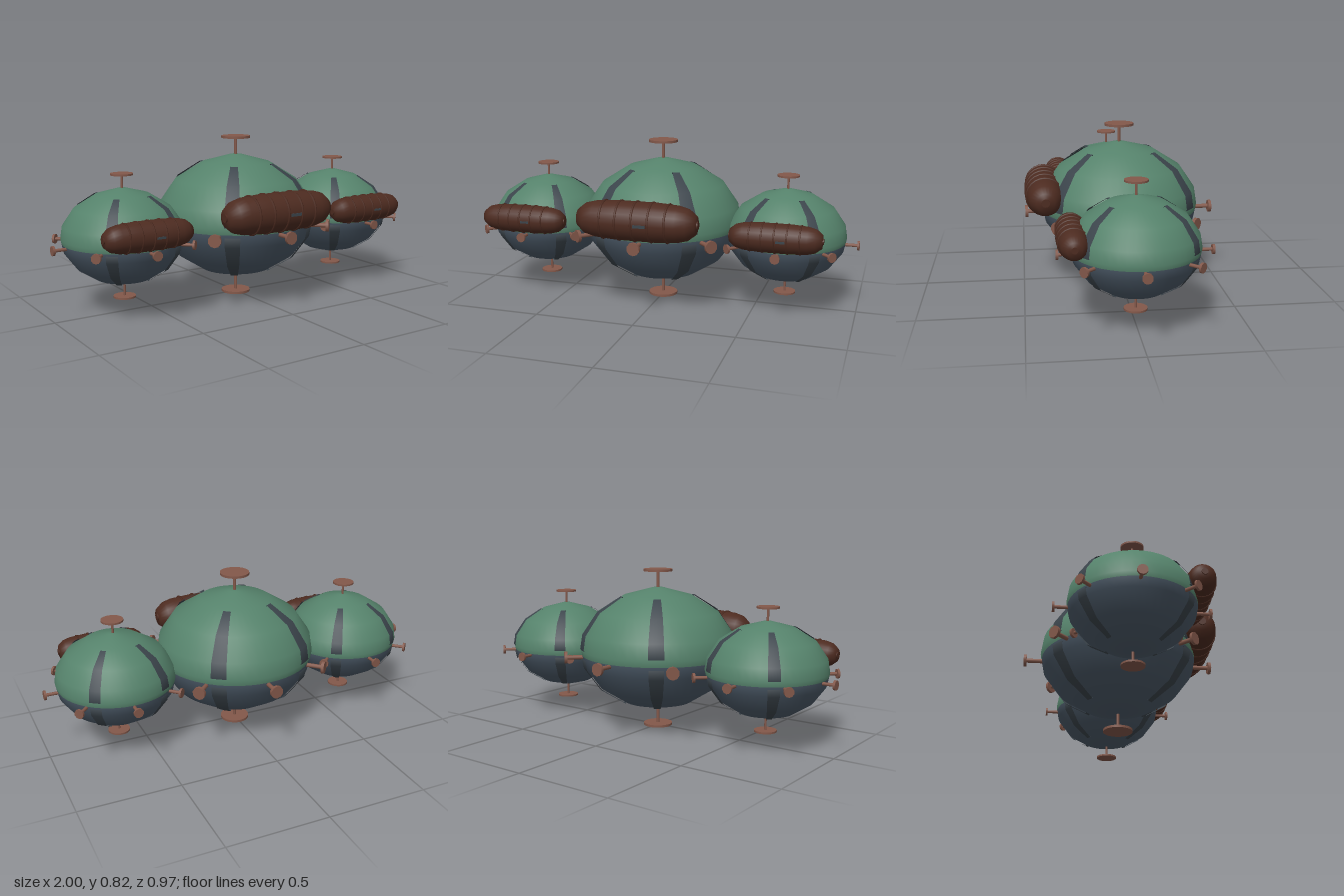
import * as THREE from 'three';

const mat = (name, color, side = THREE.FrontSide) => {
  const m = new THREE.MeshStandardMaterial({ color, side });
  m.name = name;
  return m;
};

export function createModel() {
  const green = mat('dome green', 0x55826b);
  const slate = mat('hull slate', 0x4b5967);
  const dark = mat('strap grey', 0x3b444b, THREE.DoubleSide);
  const brown = mat('pod brown', 0x4d2b20);
  const copper = mat('copper', 0x83584a);

  const pts = (list) => list.map(([r, y]) => new THREE.Vector2(r, y));
  const add = (parent, name, geometry, material, x = 0, y = 0, z = 0) => {
    const mesh = new THREE.Mesh(geometry, material);
    mesh.name = name;
    mesh.position.set(x, y, z);
    parent.add(mesh);
    return mesh;
  };

  // Hull profiles, bottom to top
  const lower = [[0, -0.316], [0.03, -0.315], [0.178, -0.276], [0.302, -0.198], [0.382, -0.09], [0.394, -0.03]];
  const upper = [[0.394, -0.03], [0.4, 0], [0.387, 0.08], [0.312, 0.19], [0.175, 0.276], [0.03, 0.315], [0, 0.316]];

  // Raised straps: outer face, with the ends turned into the hull
  const upperStrap = [[0.385, 0.008], [0.406, 0.008], [0.394, 0.083], [0.317, 0.196], [0.195, 0.273], [0.185, 0.26]];
  const lowerStrap = [[0.17, -0.262], [0.182, -0.282], [0.307, -0.204], [0.388, -0.093], [0.397, -0.045], [0.38, -0.045]];

  // Disc on a stem, pointing along +y from the hull
  function thruster(name, start, end, stemR, discR, discH, sides) {
    const g = new THREE.Group();
    g.name = name;
    add(g, 'stem', new THREE.CylinderGeometry(stemR, stemR, end - start, 10), copper, 0, (start + end) / 2, 0);
    add(g, 'disc', new THREE.CylinderGeometry(discR, discR, discH, sides), copper, 0, end - discH / 2, 0);
    return g;
  }

  // Ribbed pod lying along x
  function ribbedPod() {
    const g = new THREE.Group();
    g.name = 'ribbedPod';
    const half = [[0, 0.297], [0.045, 0.293], [0.075, 0.255], [0.088, 0.205], [0.095, 0.1]];
    const profile = [...half.map(([r, y]) => [r, -y]), ...half.slice().reverse()];
    add(g, 'podBody', new THREE.LatheGeometry(pts(profile), 24), brown).rotation.z = Math.PI / 2;
    for (let i = -2; i <= 2; i++) {
      const r = 0.095 - 0.001 * i * i;
      add(g, 'rib', new THREE.TorusGeometry(r, 0.006, 6, 24), brown, i * 0.08).rotation.y = Math.PI / 2;
    }
    for (const s of [-1, 1]) {
      add(g, 'endHub', new THREE.CylinderGeometry(0.02, 0.02, 0.01, 12), brown, s * 0.297).rotation.z = Math.PI / 2;
    }
    // Plain marking strip on the front
    add(g, 'marking', new THREE.BoxGeometry(0.06, 0.014, 0.008), dark, 0.042, -0.002, 0.094);
    g.position.set(-0.013, 0.072, 0.386);
    return g;
  }

  function sphereUnit(name, x, y, scale) {
    const u = new THREE.Group();
    u.name = name;
    add(u, 'upperHull', new THREE.LatheGeometry(pts(upper), 48), green);
    add(u, 'lowerHull', new THREE.LatheGeometry(pts(lower), 48), slate);

    // Four straps, mirrored left to right and front to back
    const a = 0.62, w = 0.19;
    for (const phi of [a, Math.PI - a, Math.PI + a, -a]) {
      add(u, 'upperStrap', new THREE.LatheGeometry(pts(upperStrap), 4, phi - w / 2, w), dark);
      add(u, 'lowerStrap', new THREE.LatheGeometry(pts(lowerStrap), 4, phi - w / 2, w), dark);
    }

    // Poles
    const top = thruster('topThruster', 0.3, 0.41, 0.008, 0.074, 0.012, 24);
    const bottom = thruster('bottomThruster', 0.3, 0.41, 0.008, 0.074, 0.012, 24);
    bottom.rotation.x = Math.PI;
    u.add(top, bottom);

    // Eight thrusters around the waist
    for (let i = 0; i < 8; i++) {
      const arm = new THREE.Group();
      arm.name = 'sideThruster';
      const t = thruster('thruster', 0.36, 0.485, 0.011, 0.032, 0.015, 10);
      t.rotation.x = Math.PI / 2;
      arm.add(t);
      arm.position.y = -0.04;
      arm.rotation.y = (i * Math.PI) / 4;
      u.add(arm);
    }

    u.add(ribbedPod());
    u.position.set(x, y, 0);
    u.scale.setScalar(scale);
    return u;
  }

  const model = new THREE.Group();
  model.name = 'tripleSphereCraft';
  model.add(sphereUnit('centreSphere', 0, 0.415, 1));
  model.add(sphereUnit('leftSphere', 0.643, 0.376, 0.737));
  model.add(sphereUnit('rightSphere', -0.643, 0.376, 0.737));
  return model;
}
